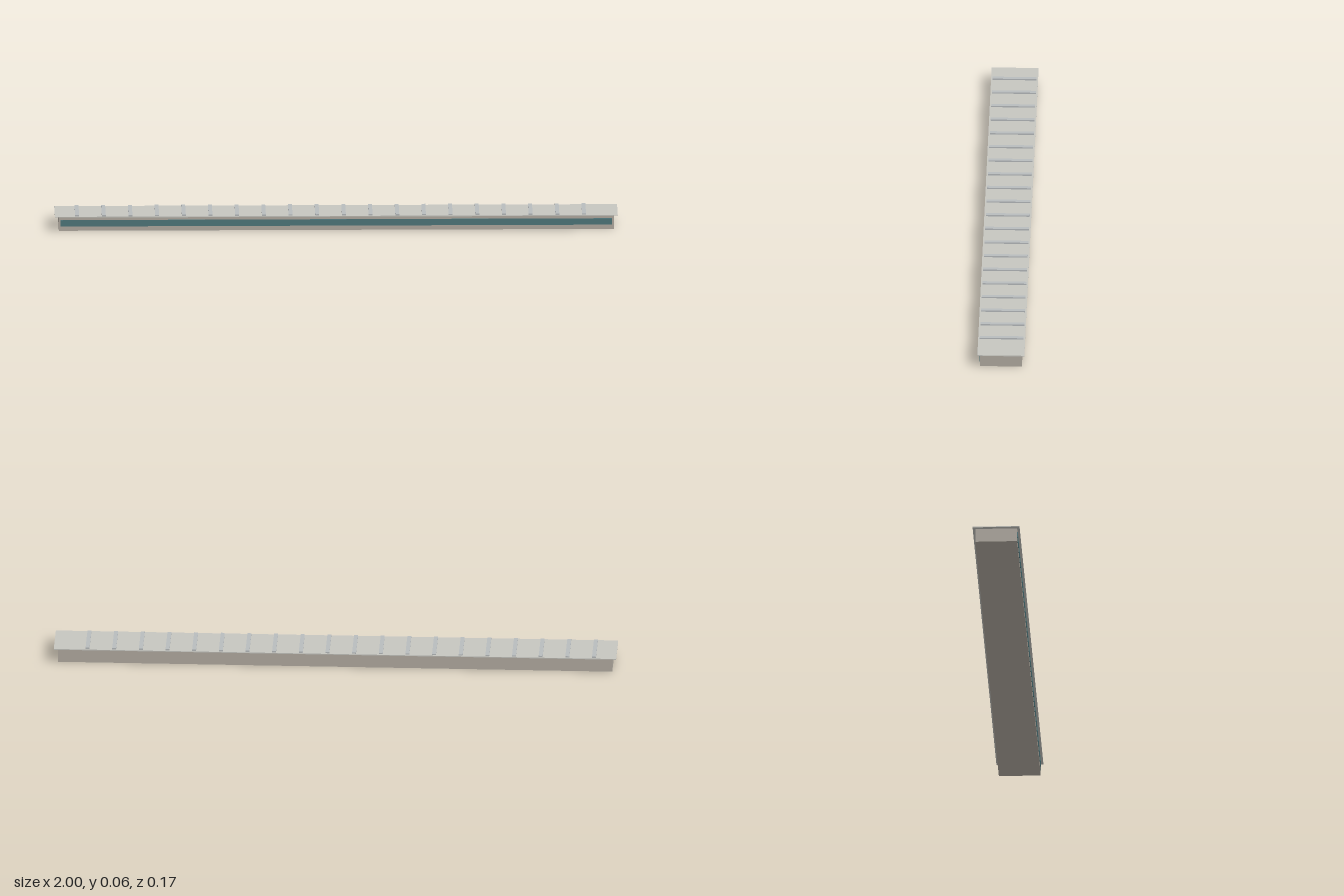
import * as THREE from 'three';

export function createModel() {
  const model = new THREE.Group();
  const mat = (color) => new THREE.MeshStandardMaterial({ color });
  const wall = mat(0xb3aca2), roofing = mat(0xc6c6c0), seam = mat(0xb8bcbe), glass = mat(0x4f777c);

  // Box spanning y0..y1, centred at x and z
  const box = (name, material, w, y0, y1, d, x = 0, z = 0) => {
    const mesh = new THREE.Mesh(new THREE.BoxGeometry(w, y1 - y0, d), material);
    mesh.position.set(x, (y0 + y1) / 2, z);
    mesh.name = name;
    model.add(mesh);
  };

  // Long hall with an overhanging flat roof
  box('walls', wall, 1.972, 0, 0.05, 0.149);
  box('roof', roofing, 2, 0.05, 0.053, 0.167);

  // Continuous window band along the front
  box('windowBand', glass, 1.96, 0.016, 0.039, 0.003, 0, 0.075);

  // Evenly spaced ribs across the roof
  for (let i = 0; i < 20; i++) {
    box('roofRib', seam, 0.014, 0.053, 0.058, 0.156, -0.921 + i * 0.0948);
  }
  return model;
}
